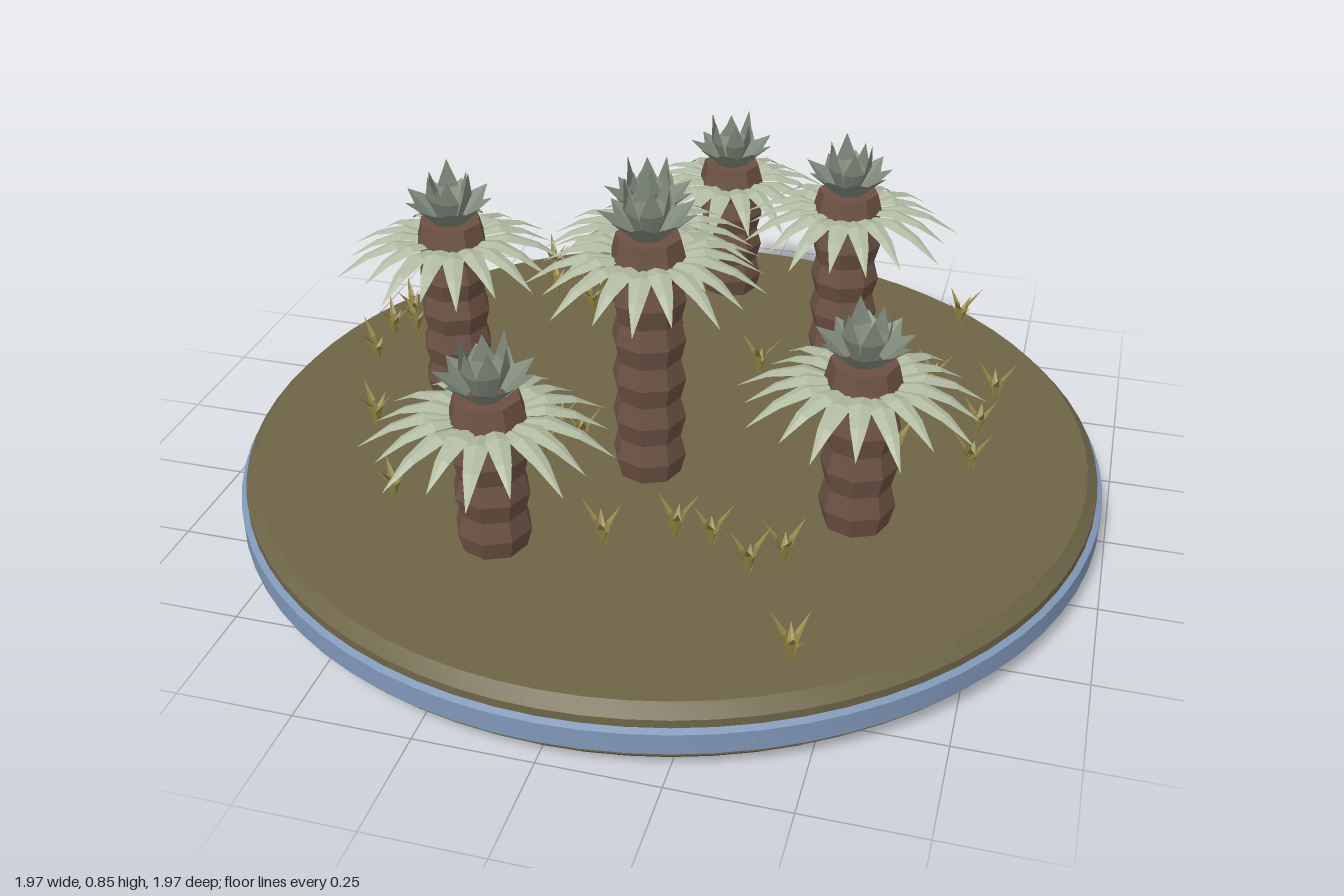
import * as THREE from 'three';
import { mergeGeometries, toCreasedNormals } from 'three/addons/utils/BufferGeometryUtils.js';

const mat = (name, color, extra = {}) => {
  const m = new THREE.MeshStandardMaterial({ color, ...extra });
  m.name = name;
  return m;
};

const GROUND = 0.143;

// small seeded random
function seeded(seed) {
  let s = seed;
  return () => (s = (s * 16807) % 2147483647) / 2147483647;
}

// One folded blade along +x; each section is [radius, height, halfWidth], last is the tip
function blade(sections, fold) {
  const pos = [];
  const tri = (...pts) => pts.forEach((p) => pos.push(...p));
  for (let i = 0; i < sections.length - 1; i++) {
    const [r0, y0, w0] = sections[i];
    const [r1, y1, w1] = sections[i + 1];
    for (const s of [1, -1]) {
      const a = [r0, y0, 0], b = [r0, y0 + w0 * fold, s * w0];
      const c = [r1, y1, 0], d = [r1, y1 + w1 * fold, s * w1];
      if (s > 0) {
        tri(a, b, c);
        if (w1 > 0) tri(b, d, c);
      } else {
        tri(a, c, b);
        if (w1 > 0) tri(b, c, d);
      }
    }
  }
  const g = new THREE.BufferGeometry();
  g.setAttribute('position', new THREE.Float32BufferAttribute(pos, 3));
  g.computeVertexNormals();
  return g;
}

// A ring of blades with slightly varied length and angle
function bladeRing(count, sections, fold, turn, vary, rand) {
  const list = [];
  for (let i = 0; i < count; i++) {
    const k = 1 - vary * (0.6 * (i % 2) + 0.4 * rand());
    const g = blade(sections.map(([r, y, w]) => [r * k, y * k, w]), fold);
    g.rotateY(turn + ((i + (rand() - 0.5) * vary) / count) * Math.PI * 2);
    list.push(g);
  }
  return mergeGeometries(list);
}

function lathe(points, segments) {
  return new THREE.LatheGeometry(points.map(([r, y]) => new THREE.Vector2(r, y)), segments);
}

export function createModel() {
  const model = new THREE.Group();
  const soil = mat('soil olive', 0x6e6547);
  const rim = mat('rim blue', 0x7f97b8);
  const bark = mat('bark brown', 0x6b5143, { flatShading: true });
  const frondMat = mat('frond pale green', 0xb0baa2, { side: THREE.DoubleSide });
  const tuftMat = mat('tuft grey green', 0x7f8a7b, { side: THREE.DoubleSide });
  const grassMat = mat('dry grass', 0x938745, { side: THREE.DoubleSide });

  const add = (parent, name, geometry, material) => {
    const mesh = new THREE.Mesh(geometry, material);
    mesh.name = name;
    parent.add(mesh);
    return mesh;
  };

  // Round base with a coloured rim
  const base = new THREE.Group();
  base.name = 'base';
  base.position.z = 0.01;
  model.add(base);
  const disc = [[0, 0], [0.94, 0], [0.972, 0.032], [0.972, 0.118], [0.948, GROUND], [0, GROUND]];
  add(base, 'groundDisc', toCreasedNormals(lathe(disc, 72), 0.5), soil);
  const band = [[0.972, 0.042], [0.985, 0.048], [0.985, 0.094], [0.972, 0.1]];
  add(base, 'rimBand', toCreasedNormals(lathe(band, 72), 0.4), rim);

  // Trees: x, z, trunk top
  const trees = [
    [-0.04, -0.73, 0.5], [0.315, -0.435, 0.59], [-0.13, -0.27, 0.56], [-0.54, -0.035, 0.59],
    [-0.005, 0.18, 0.72], [0.475, 0.26, 0.535], [-0.243, 0.535, 0.5],
  ];
  const frondShape = [[0.055, -0.05, 0.012], [0.13, -0.037, 0.025], [0.2, -0.06, 0.016], [0.272, -0.108, 0]];
  const flareShape = [[0.035, -0.005, 0.018], [0.072, 0.03, 0.03], [0.108, 0.062, 0]];
  const heartShape = [[0.02, -0.005, 0.012], [0.048, 0.06, 0.025], [0.055, 0.13, 0]];

  trees.forEach(([x, z, top], i) => {
    const rand = seeded(101 + i * 977);
    const tree = new THREE.Group();
    tree.name = 'tree' + (i + 1);
    tree.position.set(x, 0, z);
    model.add(tree);

    // Trunk of stacked bulging rings
    const height = top - GROUND;
    const rings = Math.round(height / 0.09);
    const profile = [];
    for (let k = 0; k <= rings * 2; k++) {
      profile.push([k % 2 ? 0.083 : 0.071, GROUND + (height * k) / (rings * 2)]);
    }
    profile.push([0, top]);
    const trunk = add(tree, 'trunk', lathe(profile, 8), bark);
    trunk.rotation.y = rand() * 0.8;

    // Drooping fronds, then a flared and an upright tuft
    const turn = rand() * 2;
    const crown = new THREE.Group();
    crown.name = 'crown';
    crown.position.y = top;
    tree.add(crown);
    add(crown, 'fronds', bladeRing(18, frondShape, -0.3, turn, 0.14, rand), frondMat);
    add(crown, 'flaredTuft', bladeRing(9, flareShape, 0.3, turn, 0.08, rand), tuftMat);
    add(crown, 'uprightTuft', bladeRing(6, heartShape, 0.2, turn + 0.3, 0.15, rand), tuftMat);
  });

  // Dry grass clumps: x, z
  const clumps = [
    [-0.52, -0.69], [-0.47, -0.56], [-0.36, -0.62], [-0.28, -0.67], [-0.35, -0.49], [0.585, -0.67],
    [-0.735, -0.46], [-0.67, -0.37], [-0.79, -0.34], [-0.8, -0.24], [-0.75, -0.27], [-0.79, -0.11],
    [-0.67, 0.17], [-0.245, 0.1], [-0.25, 0.2], [-0.51, 0.44], [0.14, -0.29], [0.56, -0.34],
    [0.71, -0.31], [0.69, -0.15], [0.375, -0.05], [0.52, 0], [0.69, 0], [0.2, 0.43],
    [0.295, 0.5], [-0.02, 0.49], [0.435, 0.75], [0.12, 0.42], [-0.18, 0.13], [0.36, 0.45],
  ];
  const bladeShape = [[0.004, 0, 0.006], [0.018, 0.055, 0.008], [0.055, 0.1, 0]];
  const grass = new THREE.Group();
  grass.name = 'grass';
  model.add(grass);
  clumps.forEach(([x, z], i) => {
    const rand = seeded(53 + i * 613);
    const clump = add(grass, 'grassClump', bladeRing(6, bladeShape, 0.3, rand() * 6, 0.5, rand), grassMat);
    clump.position.set(x, GROUND, z);
  });

  return model;
}
